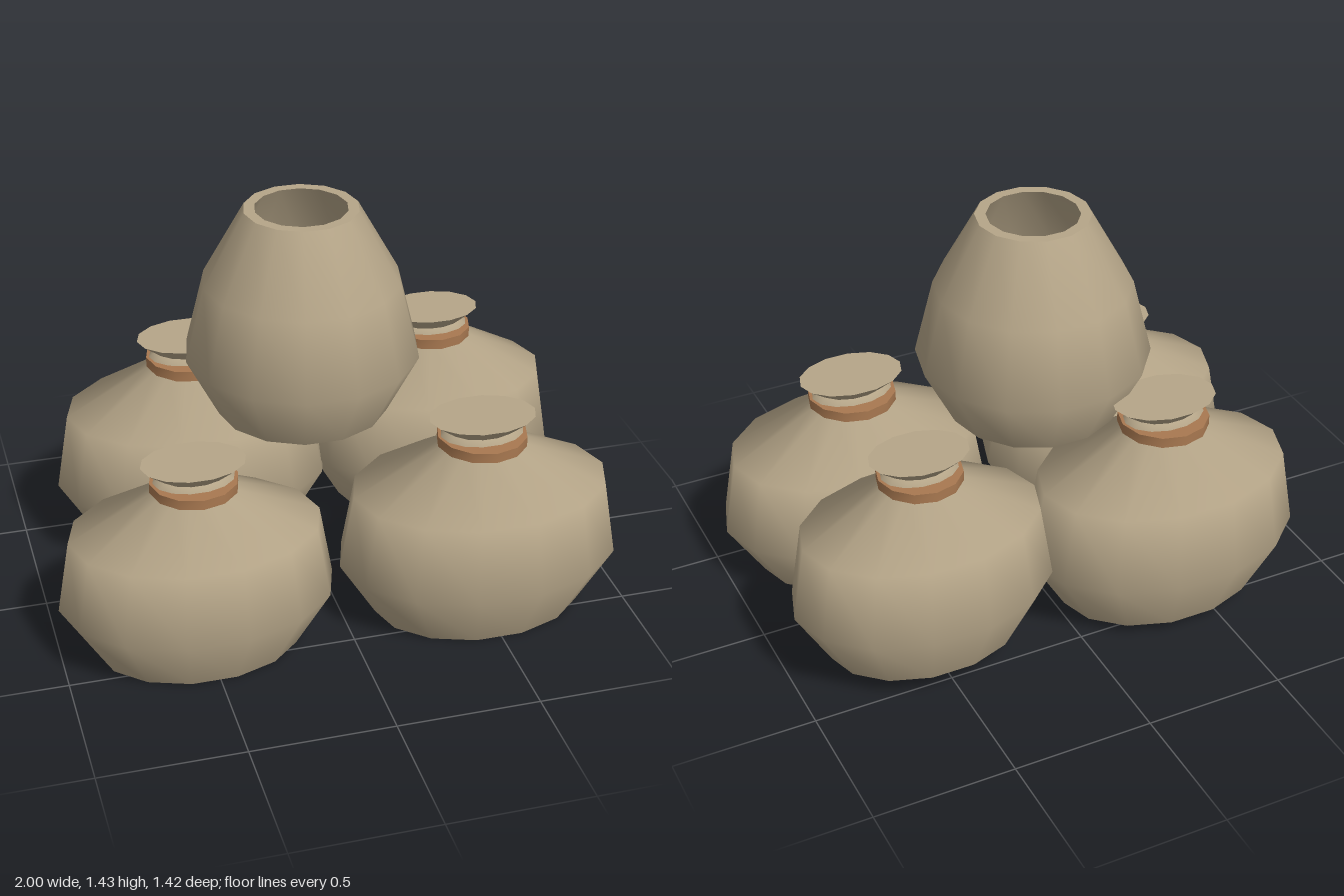
import * as THREE from 'three';
import { toCreasedNormals } from 'three/addons/utils/BufferGeometryUtils.js';

const SIDES = 14;

const clay = new THREE.MeshStandardMaterial({ color: 0xb5a588 });
clay.name = 'sackCloth';
const rope = new THREE.MeshStandardMaterial({ color: 0xa87850 });
rope.name = 'rope';

// Revolved shape with a vertex on the x axis and crisp caps
function turned(profile) {
  const points = profile.map(([r, y]) => new THREE.Vector2(r, y));
  return toCreasedNormals(new THREE.LatheGeometry(points, SIDES, Math.PI / 2), 0.95);
}

function addMesh(parent, name, geometry, material) {
  const mesh = new THREE.Mesh(geometry, material);
  mesh.name = name;
  parent.add(mesh);
  return mesh;
}

// Unit profile of a tied sack: base, belly, shoulder, pinched neck, flared top
const sackProfile = [
  [0, 0], [0.74, 0], [1, 0.285], [0.905, 0.65], [0.31, 0.86],
  [0.3, 0.91], [0.24, 0.935], [0.375, 1], [0, 1],
];

function makeSack({ name, x, y, z, rx, rz, h }) {
  const sack = new THREE.Group();
  sack.name = name;
  sack.position.set(x, y, z);

  const geometry = turned(sackProfile.map(([r, v]) => [r * rz, v * h]));
  geometry.scale(rx / rz, 1, 1);
  addMesh(sack, 'sackBody', geometry, clay);

  // Round tie about the neck
  const r = rz * 0.435;
  const tie = toCreasedNormals(new THREE.CylinderGeometry(r, r, h * 0.048, 12), 0.95);
  addMesh(sack, 'neckTie', tie, rope).position.y = h * 0.889;
  return sack;
}

export function createModel() {
  const model = new THREE.Group();
  model.name = 'sackPile';

  // Four tied sacks
  const sacks = [
    { name: 'frontRightSack', x: -0.52, y: 0, z: 0.35, rx: 0.48, rz: 0.349, h: 0.715 },
    { name: 'frontLeftSack', x: 0.492, y: 0, z: 0.355, rx: 0.505, rz: 0.363, h: 0.745 },
    { name: 'backRightSack', x: -0.38, y: 0.045, z: -0.355, rx: 0.505, rz: 0.364, h: 0.77 },
    { name: 'backLeftSack', x: 0.52, y: 0.085, z: -0.318, rx: 0.468, rz: 0.338, h: 0.745 },
  ];
  for (const s of sacks) model.add(makeSack(s));

  // Open sack on top: outside wall, rim, then inside wall and floor
  const open = turned([
    [0, 0], [0.3, 0], [0.41, 0.215], [0.343, 0.485], [0.198, 0.745],
    [0.16, 0.745], [0.3, 0.485], [0.365, 0.215], [0.26, 0.04], [0, 0.04],
  ]);
  addMesh(model, 'openSack', open, clay).position.set(-0.053, 0.685, 0);

  return model;
}
